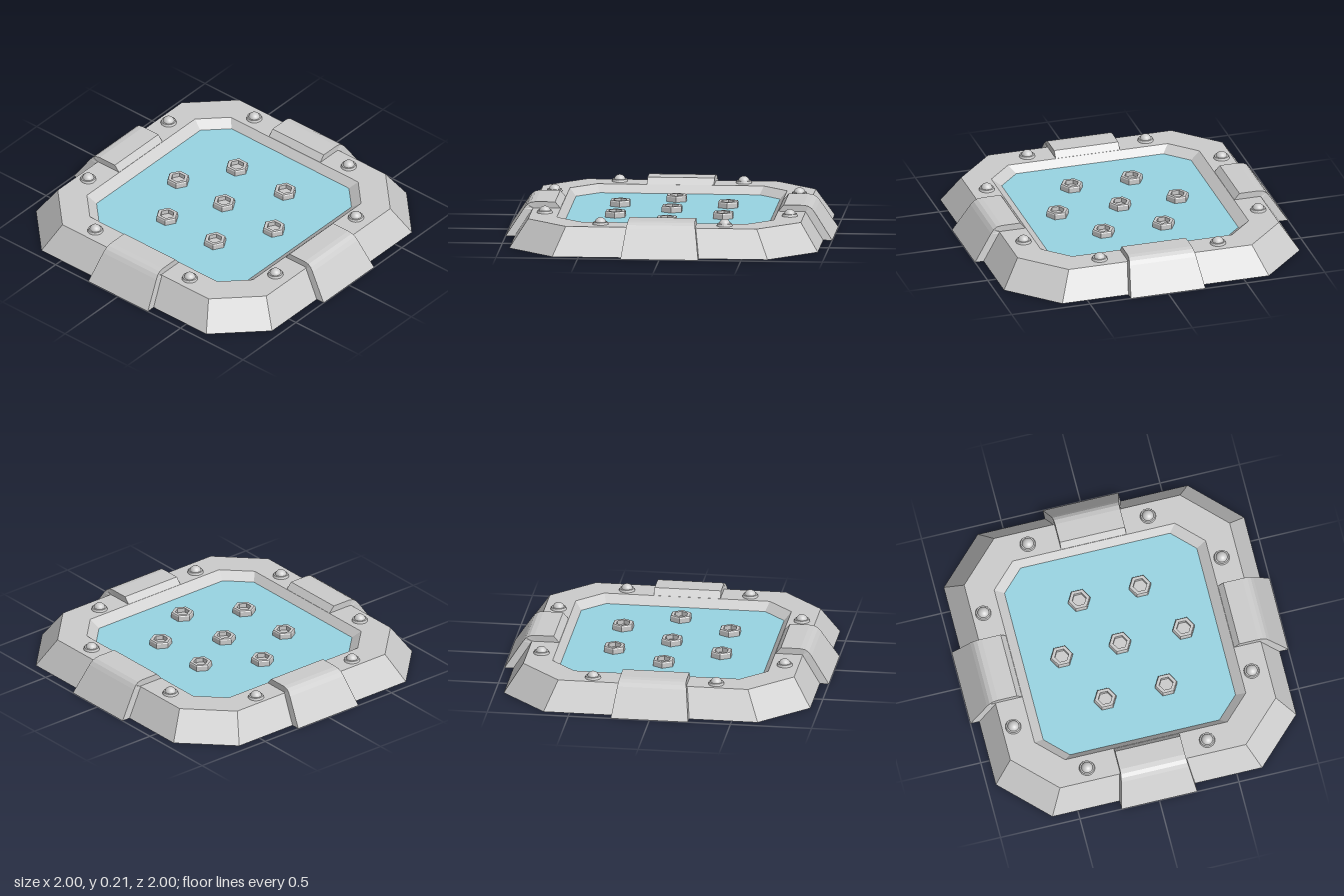
import * as THREE from 'three';

const grey = new THREE.MeshStandardMaterial({ color: 0xcccccc, flatShading: true, side: THREE.DoubleSide });
const smoothGrey = new THREE.MeshStandardMaterial({ color: 0xcccccc, side: THREE.DoubleSide });
const blue = new THREE.MeshStandardMaterial({ color: 0x98d4e2, side: THREE.DoubleSide });

function mesh(name, geometry, material) {
  const m = new THREE.Mesh(geometry, material);
  m.name = name;
  return m;
}

// Turns a list of quads (four corners, counter-clockwise from outside) into a geometry
function quadGeometry(quads) {
  const pos = [];
  for (const [a, b, c, d] of quads) pos.push(...a, ...b, ...c, ...a, ...c, ...d);
  const g = new THREE.BufferGeometry();
  g.setAttribute('position', new THREE.Float32BufferAttribute(pos, 3));
  g.computeVertexNormals();
  return g;
}

// Rectangle with cut corners: half sizes hx, hz; the straight edges end at cx, cz
function octagon(hx, hz, cx, cz, y) {
  return [[cx, y, hz], [hx, y, cz], [hx, y, -cz], [cx, y, -hz],
    [-cx, y, -hz], [-hx, y, -cz], [-hx, y, cz], [-cx, y, hz]];
}

const TOP = 0.17, PANEL = 0.125;

// Hollow frame: outer slope, flat top, inner slope
function frameGeometry() {
  const rings = [
    octagon(0.945, 0.945, 0.66, 0.66, 0),
    octagon(0.835, 0.835, 0.585, 0.585, TOP),
    octagon(0.665, 0.665, 0.51, 0.51, TOP),
    octagon(0.625, 0.605, 0.49, 0.47, PANEL),
  ];
  const quads = [];
  for (let r = 0; r < rings.length - 1; r++) {
    for (let i = 0; i < 8; i++) {
      const j = (i + 1) % 8;
      quads.push([rings[r][i], rings[r][j], rings[r + 1][j], rings[r + 1][i]]);
    }
  }
  return quadGeometry(quads);
}

function panelGeometry() {
  const o = octagon(0.625, 0.605, 0.49, 0.47, PANEL);
  const shape = new THREE.Shape(o.map(([x, , z]) => new THREE.Vector2(x, -z)));
  return new THREE.ShapeGeometry(shape).rotateX(-Math.PI / 2).translate(0, PANEL, 0);
}

// Clamp: rows of [z, y, half width], each with the frame point [z, y] beneath it
function clampGeometry() {
  const rows = [
    [1.0, 0, 0.238, 0.945, 0],
    [0.89, 0.168, 0.213, 0.84, 0.162],
    [0.872, 0.19, 0.209, 0.835, TOP],
    [0.85, 0.204, 0.206, 0.83, TOP],
    [0.82, 0.209, 0.205, 0.81, TOP],
    [0.7, 0.209, 0.205, 0.7, TOP],
    [0.667, TOP, 0.205, 0.667, TOP],
  ];
  const quads = [];
  for (let i = 0; i < rows.length - 1; i++) {
    const [z0, y0, w0, u0, v0] = rows[i], [z1, y1, w1, u1, v1] = rows[i + 1];
    quads.push([[-w0, y0, z0], [w0, y0, z0], [w1, y1, z1], [-w1, y1, z1]]);
    quads.push([[w0, y0, z0], [w0, v0, u0], [w1, v1, u1], [w1, y1, z1]]);
    quads.push([[-w0, v0, u0], [-w0, y0, z0], [-w1, y1, z1], [-w1, v1, u1]]);
  }
  return quadGeometry(quads);
}

// Washer with a domed head
function rivet(x, z) {
  const g = new THREE.Group();
  g.name = 'rivet';
  const washer = mesh('rivetWasher', new THREE.CylinderGeometry(0.044, 0.049, 0.015, 20), grey);
  washer.position.y = 0.007;
  const dome = mesh('rivetHead', new THREE.SphereGeometry(0.036, 20, 8, 0, Math.PI * 2, 0, Math.PI / 2), smoothGrey);
  dome.scale.y = 0.95;
  dome.position.y = 0.008;
  g.add(washer, dome);
  g.position.set(x, TOP, z);
  return g;
}

export function createModel() {
  const model = new THREE.Group();
  model.name = 'framedPanel';
  model.add(mesh('frame', frameGeometry(), grey), mesh('panel', panelGeometry(), blue));

  // Four clamps, one across the middle of each side
  const clampGeo = clampGeometry();
  for (let i = 0; i < 4; i++) {
    const clamp = mesh('clamp', clampGeo, grey);
    clamp.rotation.y = i * Math.PI / 2;
    model.add(clamp);
  }

  // Two rivets on each side of the frame
  for (const s of [-1, 1]) {
    for (const t of [-1, 1]) {
      model.add(rivet(s * 0.38, t * 0.75 - 0.016), rivet(s * 0.75, t * 0.378 - 0.016));
    }
  }

  // Seven hexagonal nuts with recessed centres, sunk through the panel
  const profile = [[0.07, 0.108], [0.07, 0.155], [0.065, 0.162], [0.044, 0.162], [0.044, 0.135], [0, 0.135]];
  const nutGeo = new THREE.LatheGeometry(profile.map(([r, y]) => new THREE.Vector2(r, y)), 6);
  const spots = [[0, -0.367], [0, 0], [0, 0.4], [-0.33, -0.175], [0.33, -0.175], [-0.33, 0.208], [0.33, 0.208]];
  for (const [x, z] of spots) {
    const nut = mesh('hexNut', nutGeo, grey);
    nut.position.set(x, 0, z);
    model.add(nut);
  }
  return model;
}
